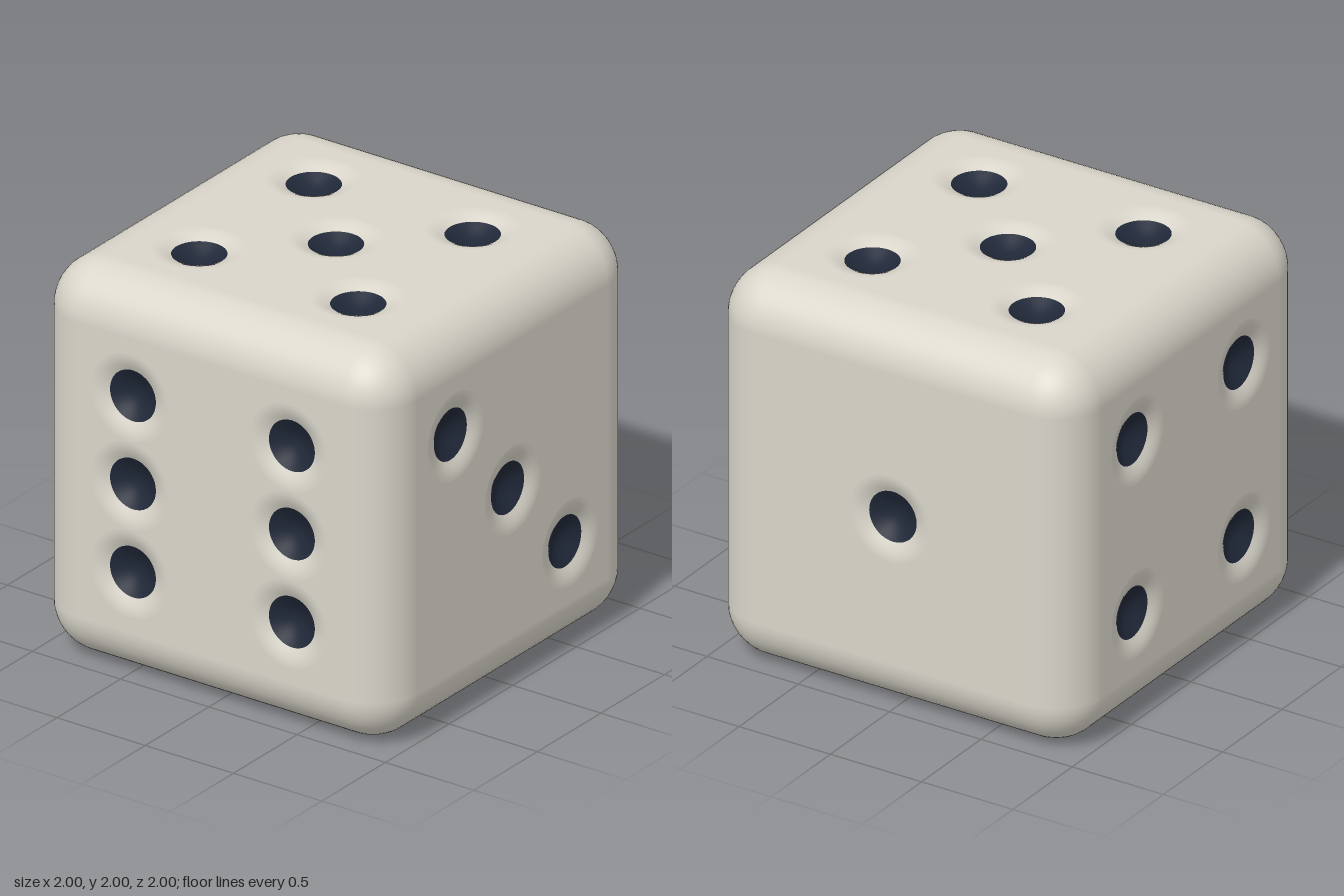
import * as THREE from 'three';
import { mergeGeometries } from 'three/addons/utils/BufferGeometryUtils.js';

const HALF = 1;          // half the side of the cube
const ROUND = 0.25;      // radius of edges and corners
const FLAT = HALF - ROUND;
const DENT_RADIUS = 0.22, DENT_DEPTH = 0.08, PIP_RADIUS = 0.13;
const S = 0.45;          // spacing of the pips

const bodyMaterial = new THREE.MeshStandardMaterial({ color: 0xd9d5ca });
const pipMaterial = new THREE.MeshStandardMaterial({ color: 0x202838 });

// Cosine bowl facing +z, from the outer radius in to the inner radius
function dentGeometry(outer, inner, steps) {
  const points = [];
  for (let i = 0; i <= steps; i++) {
    const r = outer + (inner - outer) * i / steps;
    const depth = DENT_DEPTH / 2 * (1 + Math.cos(Math.PI * r / DENT_RADIUS));
    points.push(new THREE.Vector2(r, -depth));
  }
  return new THREE.LatheGeometry(points, 40).rotateX(Math.PI / 2);
}

// Flat square panel with a round opening for every dent
function panelGeometry(pips) {
  const shape = new THREE.Shape([[-1, -1], [1, -1], [1, 1], [-1, 1]]
    .map(([x, y]) => new THREE.Vector2(x * FLAT, y * FLAT)));
  for (const [x, y] of pips) {
    shape.holes.push(new THREE.Path().absarc(x, y, DENT_RADIUS, 0, Math.PI * 2, true));
  }
  return new THREE.ShapeGeometry(shape, 20).translate(0, 0, HALF);
}

// Twelve quarter-round edges and eight corner octants
function roundingGeometry() {
  const parts = [];
  const q = Math.PI / 2;
  for (let k = 0; k < 4; k++) {
    const edge = new THREE.CylinderGeometry(ROUND, ROUND, 2 * FLAT, 12, 1, true, 0, q)
      .translate(FLAT, 0, FLAT).rotateY(k * q);
    parts.push(edge, edge.clone().rotateX(q), edge.clone().rotateZ(q));
    const corner = new THREE.SphereGeometry(ROUND, 12, 12, q, q, 0, q)
      .translate(FLAT, FLAT, FLAT).rotateY(k * q);
    parts.push(corner, corner.clone().rotateX(Math.PI));
  }
  return mergeGeometries(parts);
}

export function createModel() {
  const model = new THREE.Group();
  model.name = 'die';
  const q = Math.PI / 2;
  const diagonal = [[-S, S], [S, -S]];
  const four = [...diagonal, [S, S], [-S, -S]];
  const faces = [
    { name: 'rightFaceOne', rot: [0, q, 0], pips: [[0, 0]] },
    { name: 'bottomFaceTwo', rot: [q, 0, 0], pips: diagonal },
    { name: 'frontFaceThree', rot: [0, 0, 0], pips: [...diagonal, [0, 0]] },
    { name: 'backFaceFour', rot: [0, 2 * q, 0], pips: four },
    { name: 'topFaceFive', rot: [-q, 0, 0], pips: [...four, [0, 0]] },
    { name: 'leftFaceSix', rot: [0, -q, 0], pips: [...four, [-S, 0], [S, 0]] },
  ];

  const add = (parent, name, geometry, material) => {
    const mesh = new THREE.Mesh(geometry, material);
    mesh.name = name;
    parent.add(mesh);
    return mesh;
  };

  add(model, 'roundedEdges', roundingGeometry(), bodyMaterial);
  const rim = dentGeometry(DENT_RADIUS, PIP_RADIUS, 6);
  const bowl = dentGeometry(PIP_RADIUS, 0, 8);

  for (const { name, rot, pips } of faces) {
    const face = new THREE.Group();
    face.name = name;
    add(face, 'panel', panelGeometry(pips), bodyMaterial);
    for (const [x, y] of pips) {
      add(face, 'dentRim', rim, bodyMaterial).position.set(x, y, HALF);
      add(face, 'pip', bowl, pipMaterial).position.set(x, y, HALF);
    }
    face.rotation.set(...rot);
    model.add(face);
  }

  // Stand the die on the ground
  for (const part of model.children) part.position.y = HALF;
  return model;
}
